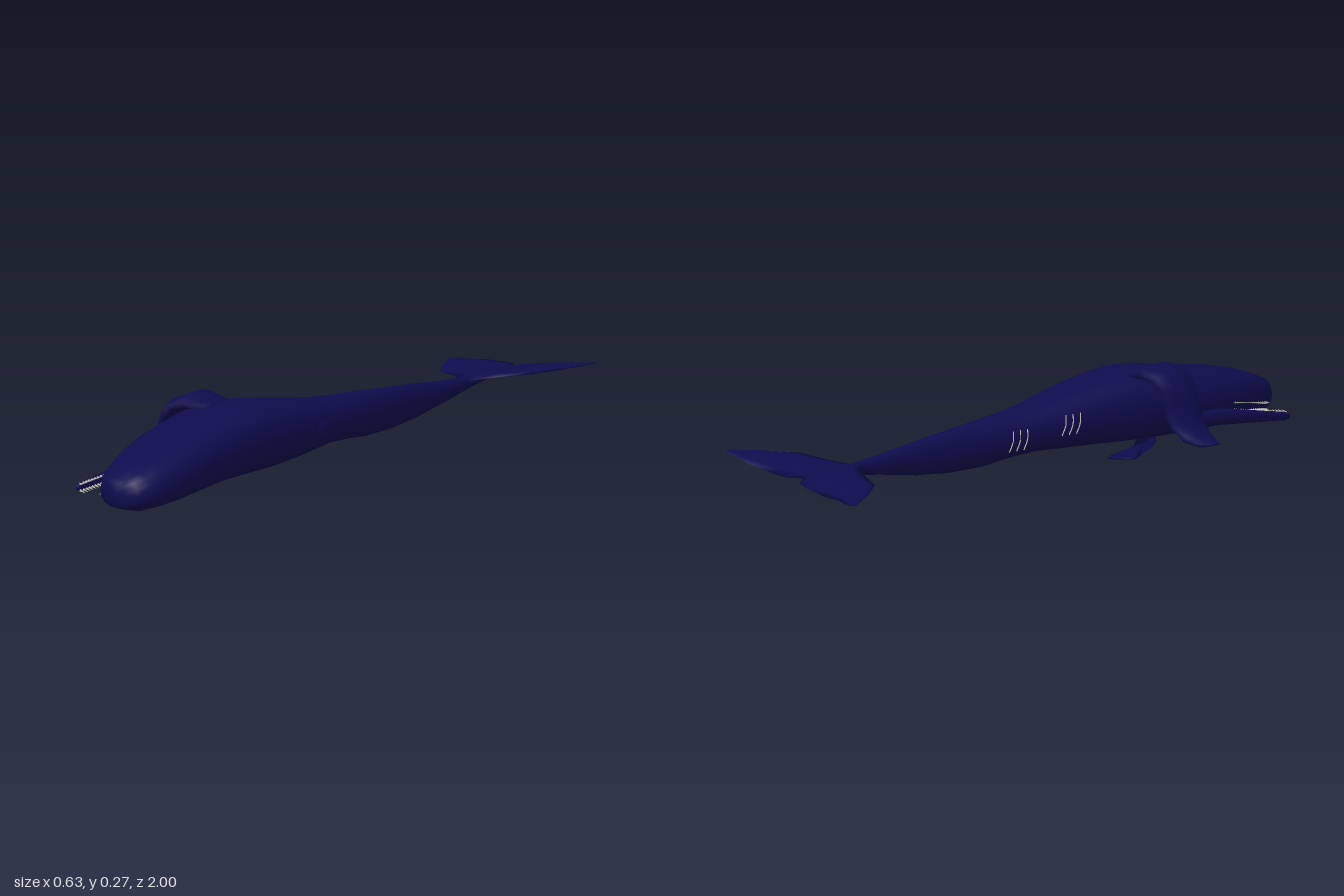
import * as THREE from 'three';
import { mergeGeometries } from 'three/addons/utils/BufferGeometryUtils.js';

const V = (x, y, z) => new THREE.Vector3(x, y, z);

// Skin over rounded sections { c: centre, u, v: half axes, p: roundness exponent }
function loft(sections, sides = 14) {
  const pos = [], idx = [], n = sections.length;
  const path = sections[n - 1].c.clone().sub(sections[0].c);
  const mid = sections[n >> 1];
  const flip = mid.u.clone().cross(mid.v).dot(path) < 0;
  for (const { c, u, v, p = 2 } of sections) {
    for (let j = 0; j < sides; j++) {
      const a = ((flip ? -j : j) / sides) * Math.PI * 2;
      const f = (t) => Math.sign(t) * Math.abs(t) ** (2 / p);
      const q = c.clone().addScaledVector(u, f(Math.cos(a))).addScaledVector(v, f(Math.sin(a)));
      pos.push(q.x, q.y, q.z);
    }
  }
  for (let i = 0; i < n - 1; i++) {
    for (let j = 0; j < sides; j++) {
      const a = i * sides + j, b = i * sides + ((j + 1) % sides);
      idx.push(a, b, a + sides, b, b + sides, a + sides);
    }
  }
  // End caps
  const first = n * sides, last = first + 1, r = (n - 1) * sides;
  for (const s of [sections[0], sections[n - 1]]) pos.push(s.c.x, s.c.y, s.c.z);
  for (let j = 0; j < sides; j++) {
    const k = (j + 1) % sides;
    idx.push(first, k, j, last, r + j, r + k);
  }
  const g = new THREE.BufferGeometry();
  g.setAttribute('position', new THREE.Float32BufferAttribute(pos, 3));
  g.setIndex(idx);
  g.computeVertexNormals();
  return g;
}

// Cone standing at a point and leaning along a direction
function tooth(at, dir, length) {
  const g = new THREE.ConeGeometry(0.0045, length, 5);
  g.translate(0, length / 2, 0);
  g.applyQuaternion(new THREE.Quaternion().setFromUnitVectors(V(0, 1, 0), dir.clone().normalize()));
  return g.translate(at.x, at.y, at.z);
}

export function createModel() {
  const whale = new THREE.Group();
  whale.name = 'whale';
  const skin = new THREE.MeshStandardMaterial({ color: 0x0e0c4e });
  skin.name = 'navy skin';
  const ivory = new THREE.MeshStandardMaterial({ color: 0xc9c6b6 });
  ivory.name = 'ivory';
  const add = (name, geometry, material = skin) => {
    const m = new THREE.Mesh(geometry, material);
    m.name = name;
    whale.add(m);
  };

  // Body lying on its side: z, x range, y range
  const body = [
    [0.995, -0.01, 0.07, 0.04, 0.11], [0.98, -0.04, 0.11, 0.025, 0.125],
    [0.94, -0.07, 0.14, 0.014, 0.142], [0.88, -0.095, 0.152, 0.012, 0.163],
    [0.8, -0.125, 0.163, 0.016, 0.185], [0.7, -0.148, 0.158, 0.02, 0.205],
    [0.6, -0.158, 0.15, 0.024, 0.222], [0.5, -0.158, 0.153, 0.028, 0.245],
    [0.4, -0.145, 0.155, 0.03, 0.255], [0.3, -0.118, 0.155, 0.033, 0.245],
    [0.2, -0.1, 0.15, 0.04, 0.228], [0.1, -0.085, 0.132, 0.046, 0.21],
    [0, -0.066, 0.115, 0.05, 0.196], [-0.1, -0.05, 0.1, 0.045, 0.186],
    [-0.2, -0.033, 0.083, 0.034, 0.18], [-0.32, -0.012, 0.07, 0.034, 0.17],
    [-0.45, 0.002, 0.064, 0.048, 0.157], [-0.6, 0.012, 0.058, 0.075, 0.14],
    [-0.72, 0.016, 0.048, 0.095, 0.132], [-0.85, 0.024, 0.036, 0.108, 0.128],
    [-0.93, 0.028, 0.032, 0.115, 0.125],
  ];
  add('body', loft(body.map(([z, x0, x1, y0, y1]) => ({
    c: V((x0 + x1) / 2, (y0 + y1) / 2, z),
    u: V((x1 - x0) / 2, 0, 0), v: V(0, (y1 - y0) / 2, 0), p: z > 0 ? 2.5 : 2.1,
  })), 16));

  // Low hump on the back
  const hump = new THREE.SphereGeometry(1, 10, 8);
  hump.scale(0.03, 0.04, 0.06).translate(0.112, 0.125, 0.12);
  add('dorsalHump', hump);

  // Tail fluke lobes: distance out, leading z, trailing z, half thickness
  const lobe = [
    [0, -0.66, -0.93, 0.011], [0.03, -0.71, -0.975, 0.01], [0.08, -0.745, -0.99, 0.009],
    [0.17, -0.785, -1, 0.006], [0.23, -0.865, -0.99, 0.004],
    [0.265, -0.93, -0.997, 0.003], [0.285, -0.965, -0.99, 0.002],
  ];
  for (const [name, side, rise] of [['leftFluke', 1, 0.045], ['rightFluke', -1, -0.025]]) {
    add(name, loft(lobe.map(([d, z0, z1, t]) => ({
      c: V(0.03 + side * d, 0.12 + (rise * d) / 0.285, (z0 + z1) / 2),
      u: V(0, 0, (z0 - z1) / 2), v: V(0, t, 0),
    })), 8));
  }

  // Flippers: x, y, z, half chord (x, z), half thickness (x, y)
  const flipper = (rows) => loft(rows.map(([x, y, z, cx, cz, tx, ty]) => ({
    c: V(x, y, z), u: V(cx, 0, cz), v: V(tx, ty, 0),
  })), 10);
  add('upperFlipper', flipper([
    [-0.03, 0.235, 0.43, 0, 0.075, 0, 0.02], [-0.1, 0.253, 0.44, 0, 0.08, -0.003, 0.026],
    [-0.145, 0.238, 0.45, 0, 0.08, -0.013, 0.018], [-0.172, 0.205, 0.455, 0, 0.077, -0.017, 0.007],
    [-0.188, 0.15, 0.46, 0, 0.073, -0.016, 0.005], [-0.207, 0.1, 0.465, 0, 0.07, -0.016, 0.009],
    [-0.24, 0.063, 0.475, 0, 0.062, -0.008, 0.016], [-0.285, 0.048, 0.48, 0, 0.045, -0.001, 0.01],
    [-0.318, 0.051, 0.48, 0, 0.022, 0, 0.003],
  ]));
  add('lowerFlipper', flipper([
    [-0.05, 0.025, 0.43, 0.03, 0.07, 0, 0.018], [-0.09, 0.02, 0.41, 0.035, 0.07, 0, 0.018],
    [-0.135, 0.026, 0.34, 0.045, 0.045, 0, 0.012], [-0.17, 0.032, 0.27, 0.052, 0.025, 0, 0.009],
    [-0.197, 0.038, 0.21, 0.045, -0.006, 0, 0.006], [-0.208, 0.04, 0.17, 0.022, -0.02, 0, 0.003],
  ]));

  // Open lower jaw, narrowing to the tip
  const hinge = V(-0.135, 0.09, 0.58), tip = V(-0.188, 0.045, 0.915);
  add('lowerJaw', loft([[0, 0.03, 0.03], [0.4, 0.016, 0.024], [0.75, 0.009, 0.017], [0.95, 0.008, 0.014], [1, 0.004, 0.007]]
    .map(([t, w, h]) => ({ c: hinge.clone().lerp(tip, t), u: V(w, 0, 0), v: V(0, h, 0) })), 10));

  // Teeth in two rows on each jaw
  const teeth = [];
  const gumStart = V(-0.138, 0.098, 0.73), gumEnd = V(-0.08, 0.055, 0.92);
  for (let i = 0; i < 16; i++) {
    const t = i / 15;
    for (const s of [-1, 1]) {
      const low = hinge.clone().lerp(tip, 0.45 + 0.52 * t);
      teeth.push(tooth(low.add(V(0.004, s * 0.01, 0)), V(1, s * 0.3, 0), 0.022));
      const up = gumStart.clone().lerp(gumEnd, t);
      teeth.push(tooth(up.add(V(0.004, s * 0.01, 0)), V(-1, s * 0.3, 0), 0.02));
    }
  }
  add('teeth', mergeGeometries(teeth), ivory);

  // Thin pale creases curving over the belly
  const creases = [];
  for (const [z0, y0, x0] of [[0.1, 0.138, -0.085], [-0.09, 0.112, -0.051]]) {
    for (let k = -1; k <= 1; k++) {
      const z = z0 + k * 0.026;
      const x = x0 - k * 0.0045;
      const curve = new THREE.CatmullRomCurve3([
        V(x + 0.004, y0 - 0.032, z - 0.012), V(x, y0, z), V(x + 0.004, y0 + 0.032, z + 0.004),
      ]);
      creases.push(new THREE.TubeGeometry(curve, 8, 0.0018, 5));
    }
  }
  add('bellyCreases', mergeGeometries(creases), ivory);

  return whale;
}
